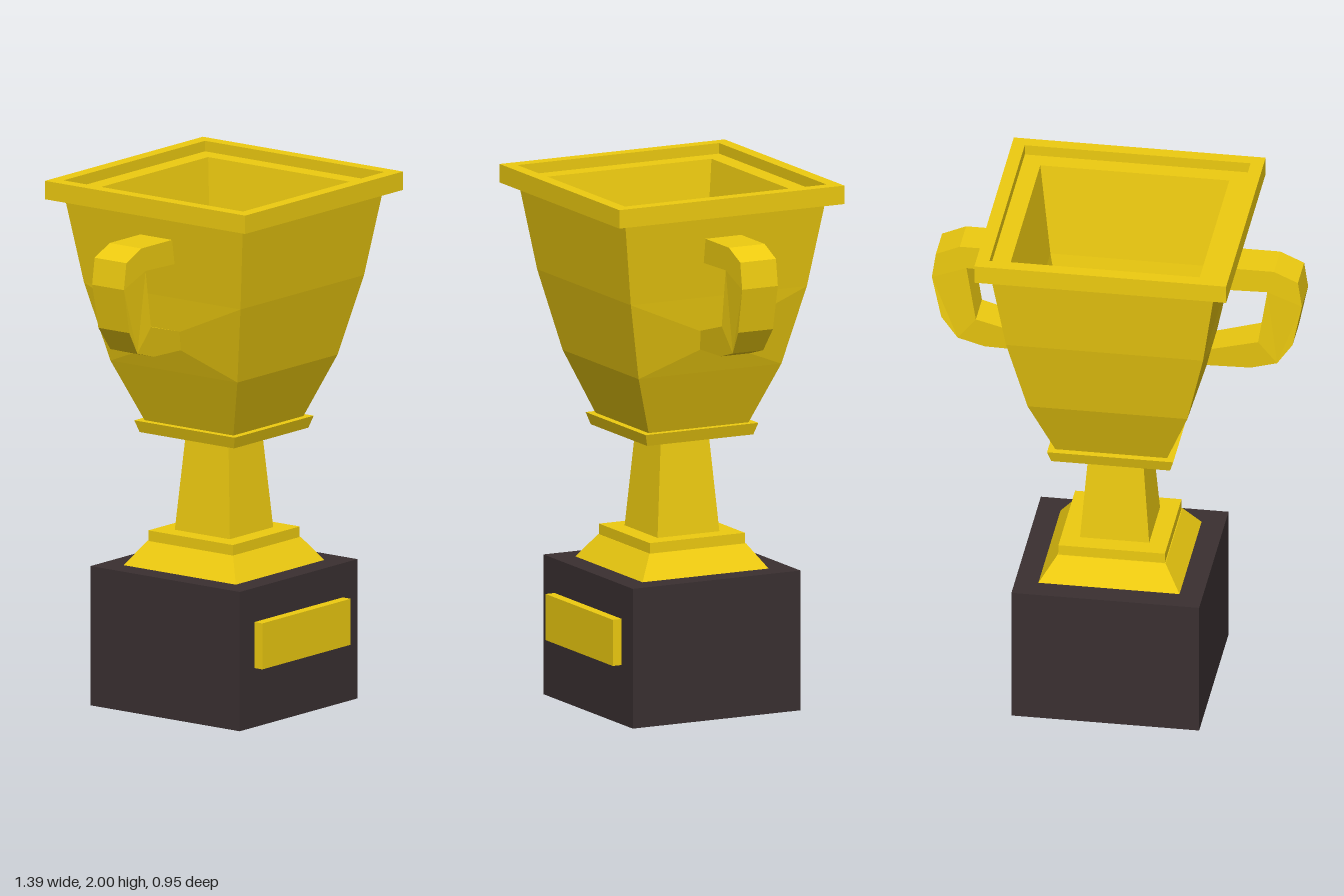
import * as THREE from 'three';
import { ConvexGeometry } from 'three/addons/geometries/ConvexGeometry.js';

const gold = new THREE.MeshStandardMaterial({ color: 0xeecb10, flatShading: true });
const dark = new THREE.MeshStandardMaterial({ color: 0x3a3031, flatShading: true });

function addMesh(parent, name, geometry, material = gold) {
  const mesh = new THREE.Mesh(geometry, material);
  mesh.name = name;
  parent.add(mesh);
  return mesh;
}

// Four-sided lathe: profile points are [half width, height], outside going up
function squareLathe(profile) {
  const points = profile.map(([w, y]) => new THREE.Vector2(w * Math.SQRT2, y));
  return new THREE.LatheGeometry(points, 4, Math.PI / 4);
}

// Angular handle on the +x side, slightly narrower towards its lower end
function handleGeometry() {
  const outline = [
    [0.37, 1.84], [0.37, 1.745], [0.565, 1.75], [0.53, 1.53], [0.35, 1.48],
    [0.31, 1.475], [0.31, 1.405], [0.5, 1.41], [0.6, 1.44], [0.66, 1.53],
    [0.695, 1.7], [0.68, 1.8], [0.59, 1.84],
  ].map(([x, y]) => new THREE.Vector2(x, y));
  const geometry = new THREE.ExtrudeGeometry(new THREE.Shape(outline), { depth: 2, bevelEnabled: false });
  geometry.translate(0, 0, -1);
  const pos = geometry.attributes.position;
  for (let i = 0; i < pos.count; i++) {
    const t = THREE.MathUtils.clamp((pos.getY(i) - 1.4) / 0.15, 0, 1);
    pos.setZ(i, pos.getZ(i) * THREE.MathUtils.lerp(0.06, 0.075, t));
  }
  geometry.computeVertexNormals();
  return geometry;
}

// Shallow faceted swelling of the bowl wall around the lower handle root
function swellingGeometry() {
  const points = [];
  for (const s of [-1, 1]) {
    for (const [x, y, z] of [[0.37, 1.61, 0.37], [0.3, 1.31, 0.3], [0.353, 1.48, 0.07], [0.335, 1.405, 0.06]]) {
      points.push(new THREE.Vector3(x, y, s * z));
    }
  }
  return new ConvexGeometry(points);
}

export function createModel() {
  const model = new THREE.Group();
  model.name = 'trophy';

  // Pedestal and plaque
  addMesh(model, 'pedestal', new THREE.BoxGeometry(0.705, 0.53, 0.705), dark).position.y = 0.265;
  addMesh(model, 'plaque', new THREE.BoxGeometry(0.53, 0.175, 0.08)).position.set(0, 0.3125, 0.35);

  // Foot, stem and collar
  addMesh(model, 'foot', squareLathe([[0, 0.53], [0.265, 0.53], [0.203, 0.62], [0, 0.62]]));
  addMesh(model, 'footStep', new THREE.BoxGeometry(0.4, 0.04, 0.4)).position.y = 0.64;
  addMesh(model, 'stem', squareLathe([[0.13, 0.66], [0.1, 1.035]]));
  addMesh(model, 'collar', squareLathe([[0, 1.035], [0.223, 1.035], [0.237, 1.08], [0, 1.08]]));

  // Hollow bowl: outer wall, top ledge, inner wall and floor
  addMesh(model, 'bowl', squareLathe([
    [0.21, 1.08], [0.3, 1.31], [0.37, 1.61], [0.42, 1.93], [0.425, 1.96],
    [0.355, 1.96], [0.31, 1.61], [0.25, 1.31], [0.165, 1.1], [0, 1.1],
  ]));
  addMesh(model, 'rim', squareLathe([
    [0.415, 1.93], [0.473, 1.93], [0.473, 2], [0.424, 2], [0.424, 1.955],
  ]));

  // Handles on both sides
  for (const [side, turn] of [['left', 0], ['right', Math.PI]]) {
    const group = new THREE.Group();
    group.name = side + 'Handle';
    group.rotation.y = turn;
    addMesh(group, side + 'HandleLoop', handleGeometry());
    addMesh(group, side + 'HandleRoot', swellingGeometry());
    model.add(group);
  }
  return model;
}
